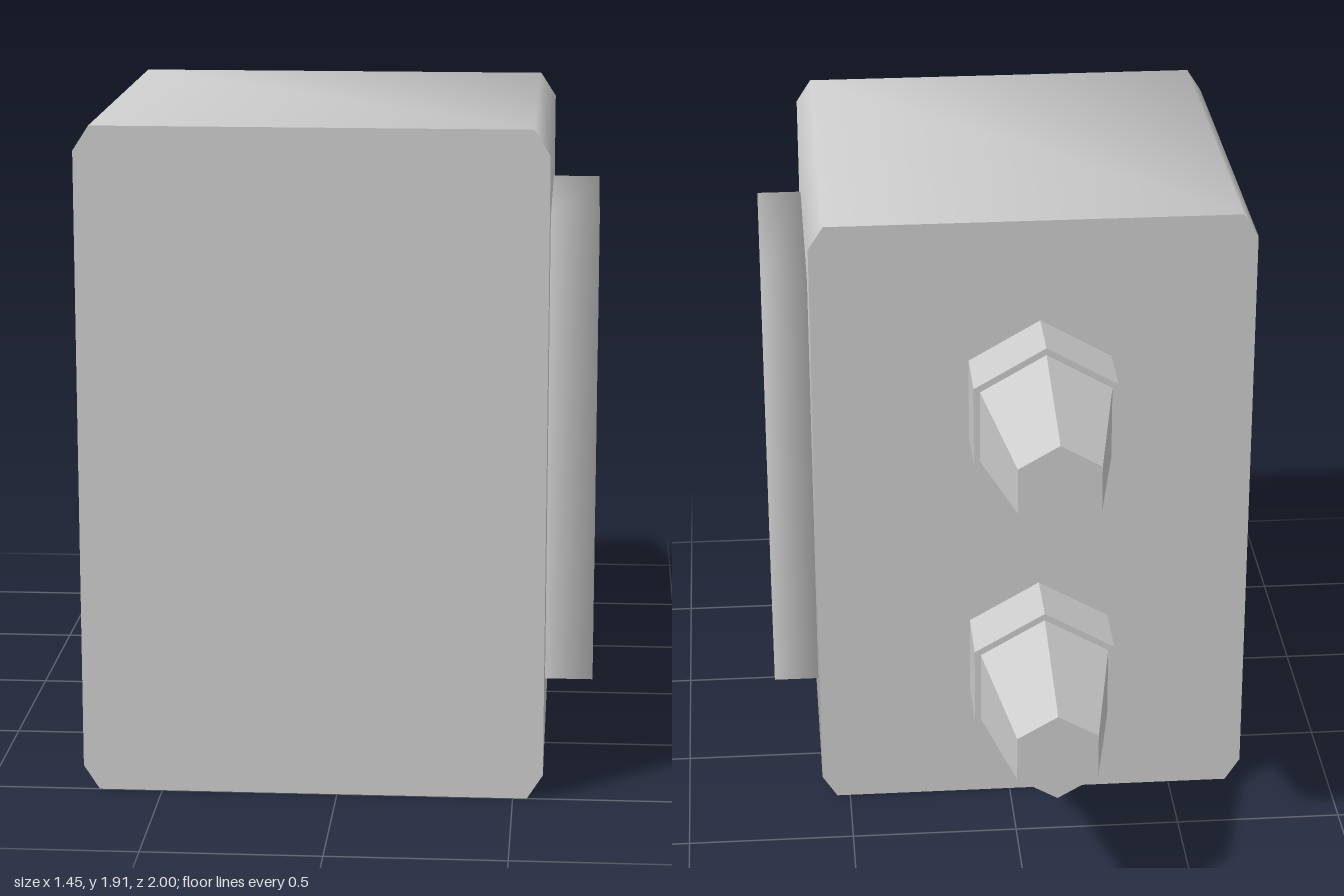
import * as THREE from 'three';
import { mergeVertices, toCreasedNormals } from 'three/addons/utils/BufferGeometryUtils.js';

const smooth = new THREE.MeshStandardMaterial({ color: 0xcccccc });
const faceted = new THREE.MeshStandardMaterial({ color: 0xcccccc, flatShading: true });

function part(parent, name, geometry, material) {
  const mesh = new THREE.Mesh(geometry, material);
  mesh.name = name;
  parent.add(mesh);
  return mesh;
}

// Block with four chamfered long edges, shaded softly over the chamfers
function housingGeometry() {
  const [l, r, b, t, cx, cy] = [-0.725, 0.585, 0, 1.91, 0.045, 0.07];
  const outline = [
    [l + cx, b], [r - cx, b], [r, b + cy], [r, t - cy],
    [r - cx, t], [l + cx, t], [l, t - cy], [l, b + cy],
  ].map(([x, y]) => new THREE.Vector2(x, y));
  const geometry = new THREE.ExtrudeGeometry(new THREE.Shape(outline), { depth: 1.26, bevelEnabled: false });
  geometry.translate(0, 0, -0.26);
  return toCreasedNormals(geometry, THREE.MathUtils.degToRad(65));
}

// Box whose corners share one normal, giving a pillowy shading
function padGeometry(w, h, d) {
  const box = new THREE.BoxGeometry(w, h, d);
  box.deleteAttribute('normal');
  box.deleteAttribute('uv');
  const geometry = mergeVertices(box);
  geometry.computeVertexNormals();
  return geometry;
}

// Six-sided nozzle pointing to -z: neck, collar and tapered tip
function createNozzle(name) {
  const nozzle = new THREE.Group();
  nozzle.name = name;
  const sections = [
    ['neck', 0.16, 0.16, -0.25, -0.39],
    ['collar', 0.24, 0.24, -0.382, -0.58],
    ['tip', 0.22, 0.135, -0.575, -1],
  ];
  for (const [label, rStart, rEnd, zStart, zEnd] of sections) {
    const geometry = new THREE.CylinderGeometry(rEnd, rStart, zStart - zEnd, 6);
    geometry.rotateX(-Math.PI / 2);
    part(nozzle, label, geometry, faceted).position.z = (zStart + zEnd) / 2;
  }
  return nozzle;
}

export function createModel() {
  const model = new THREE.Group();
  model.name = 'nozzleBlock';

  part(model, 'housing', housingGeometry(), smooth);
  part(model, 'sidePad', padGeometry(0.137, 1.355, 0.74), smooth).position.set(0.6535, 0.953, 0.37);

  for (const [name, y] of [['upperNozzle', 1.41], ['lowerNozzle', 0.553]]) {
    const nozzle = createNozzle(name);
    nozzle.position.set(-0.077, y, 0);
    model.add(nozzle);
  }
  return model;
}
